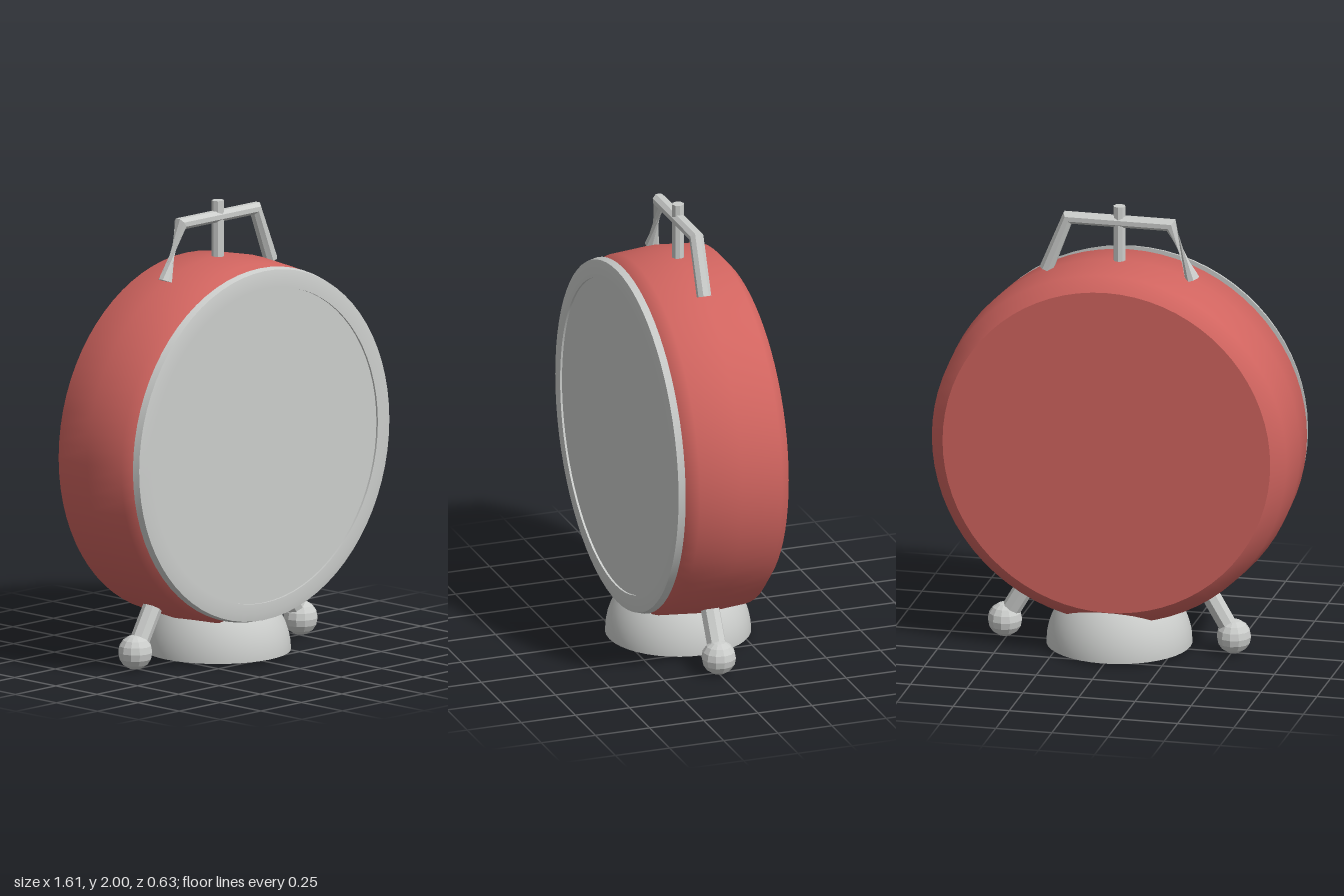
import * as THREE from 'three';
import { toCreasedNormals } from 'three/addons/utils/BufferGeometryUtils.js';

export function createModel() {
  const group = new THREE.Group();
  const red = new THREE.MeshStandardMaterial({ color: 0xd0645f });
  red.name = 'red paint';
  const metal = new THREE.MeshStandardMaterial({ color: 0xcbcdcb });
  metal.name = 'pale metal';
  metal.side = THREE.DoubleSide;
  const CY = 0.95; // height of the case centre

  const add = (name, geo, mat, x = 0, y = 0, z = 0) => {
    const mesh = new THREE.Mesh(geo, mat);
    mesh.name = name;
    mesh.position.set(x, y, z);
    group.add(mesh);
    return mesh;
  };
  // Lathe whose axis points forward; profile is [radius, z]
  const lathe = (profile) => new THREE.LatheGeometry(
    profile.map(([r, z]) => new THREE.Vector2(r, z)), 72).rotateX(Math.PI / 2);
  const facet = (geo) => toCreasedNormals(geo, 0.1);

  // Round case with bulging side and flat ends
  add('caseSide', lathe([[0.73, -0.242], [0.79, -0.19], [0.805, 0], [0.79, 0.19], [0.73, 0.242]]), red, 0, CY);
  add('caseFront', new THREE.CircleGeometry(0.73, 72), red, 0, CY, 0.242);
  add('caseBack', new THREE.CircleGeometry(0.73, 72).rotateY(Math.PI), red, 0, CY, -0.242);

  // Front rim and dial plate
  const rim = lathe([[0.695, 0.252], [0.78, 0.252], [0.772, 0.282], [0.74, 0.288], [0.695, 0.288], [0.695, 0.252]]);
  add('rim', toCreasedNormals(rim, 0.5), metal, 0, CY + 0.005);
  add('dial', new THREE.CircleGeometry(0.697, 72), metal, 0, CY + 0.005, 0.279);

  // Hollow domed stand, open underneath
  add('stand', new THREE.SphereGeometry(0.317, 40, 12, 0, Math.PI * 2, 0, Math.PI / 2), metal, 0, 0.013);

  // Splayed legs with ball feet
  for (const s of [1, -1]) {
    const foot = new THREE.Vector3(s * 0.51, 0.076, 0);
    const dir = new THREE.Vector3(0, CY, 0).sub(foot).normalize();
    const leg = add('leg', facet(new THREE.CylinderGeometry(0.043, 0.043, 0.26, 8)), metal);
    leg.position.copy(foot).addScaledVector(dir, 0.13);
    leg.quaternion.setFromUnitVectors(new THREE.Vector3(0, 1, 0), dir);
    add('foot', facet(new THREE.SphereGeometry(0.076, 12, 8)), metal, foot.x, foot.y, 0);
  }

  // Carrying handle: rings [x, y, tilt, twist]; the last span is twisted half a turn
  const rings = [
    [0.325, 1.69, 1.95, 0], [0.23, 1.93, 2.5, 0],
    [-0.23, 1.93, -2.5, 0], [-0.325, 1.69, -1.95, Math.PI],
  ];
  const N = 8, R = 0.032, pos = [], idx = [];
  rings.forEach(([x, y], k) => {
    // Ring plane is set by the bisector of the neighbouring spans
    const a = rings[Math.max(k - 1, 0)], b = rings[Math.min(k + 1, 3)];
    const unit = (p, q) => new THREE.Vector2(q[0] - p[0], q[1] - p[1]).normalize();
    const t = new THREE.Vector2();
    if (k > 0) t.add(unit(a, rings[k]));
    if (k < 3) t.add(unit(rings[k], b));
    t.normalize();
    for (let i = 0; i < N; i++) {
      const ang = (i + 0.5) / N * Math.PI * 2 + rings[k][3];
      const u = Math.cos(ang) * R;
      pos.push(x - t.y * u, y + t.x * u, Math.sin(ang) * R);
    }
  });
  for (let k = 0; k < 3; k++) {
    for (let i = 0; i < N; i++) {
      const a = k * N + i, b = k * N + (i + 1) % N;
      idx.push(a, b, a + N, b, b + N, a + N);
    }
  }
  for (let i = 1; i < N - 1; i++) {
    idx.push(0, i + 1, i, 3 * N, 3 * N + i, 3 * N + i + 1);
  }
  const handle = new THREE.BufferGeometry();
  handle.setAttribute('position', new THREE.Float32BufferAttribute(pos, 3));
  handle.setIndex(idx);
  handle.computeVertexNormals();
  add('handle', facet(handle), metal);

  // Top pin through the handle
  add('topPin', facet(new THREE.CylinderGeometry(0.027, 0.027, 0.27, 8)), metal, 0, 1.865);

  return group;
}
